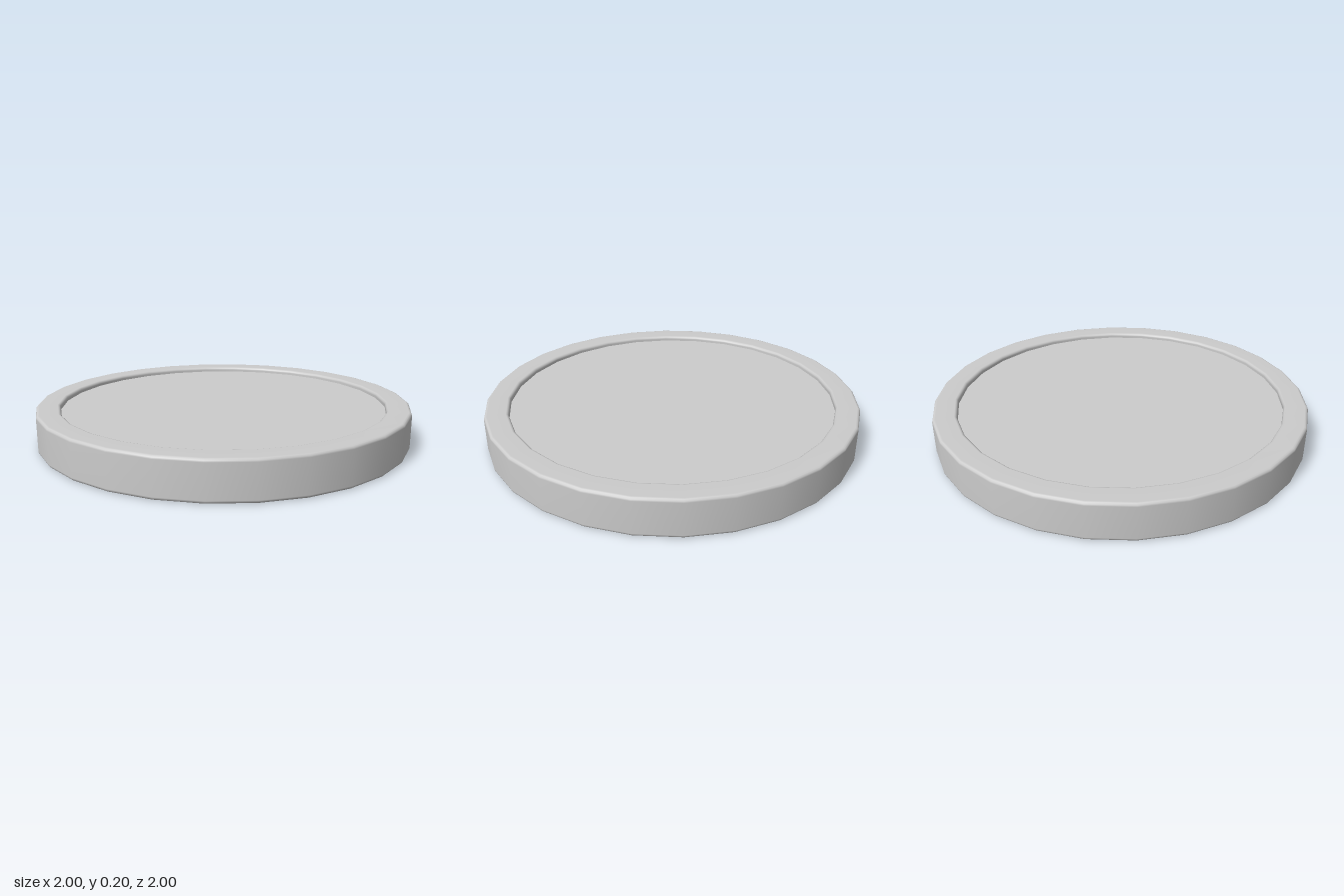
import * as THREE from 'three';

const SIDES = 28;
const HEIGHT = 0.2;
const OUTER = 1;
const INNER = 0.873;
const BEVEL = 0.016;
const RECESS = 0.027;

// Closed ring section with rounded corners, counterclockwise from the middle of the inner wall
function ringProfile() {
  const points = [new THREE.Vector2(INNER, HEIGHT / 2)];
  const corners = [
    [INNER + BEVEL, BEVEL, Math.PI],
    [OUTER - BEVEL, BEVEL, 1.5 * Math.PI],
    [OUTER - BEVEL, HEIGHT - BEVEL, 0],
    [INNER + BEVEL, HEIGHT - BEVEL, 0.5 * Math.PI],
  ];
  for (const [x, y, start] of corners) {
    for (let i = 0; i <= 3; i++) {
      const a = start + (i / 3) * (Math.PI / 2);
      points.push(new THREE.Vector2(x + BEVEL * Math.cos(a), y + BEVEL * Math.sin(a)));
    }
  }
  points.push(points[0].clone());
  return points;
}

export function createModel() {
  const group = new THREE.Group();
  group.name = 'disc';
  const material = new THREE.MeshStandardMaterial({ color: 0xcccccc });

  // Raised rim
  const rim = new THREE.Mesh(new THREE.LatheGeometry(ringProfile(), SIDES), material);
  rim.name = 'rim';

  // Flat plate, recessed on both faces and let slightly into the rim
  const plate = new THREE.Mesh(
    new THREE.CylinderGeometry(INNER + 0.01, INNER + 0.01, HEIGHT - 2 * RECESS, SIDES),
    material
  );
  plate.name = 'plate';
  plate.position.y = HEIGHT / 2;

  group.add(rim, plate);
  return group;
}
